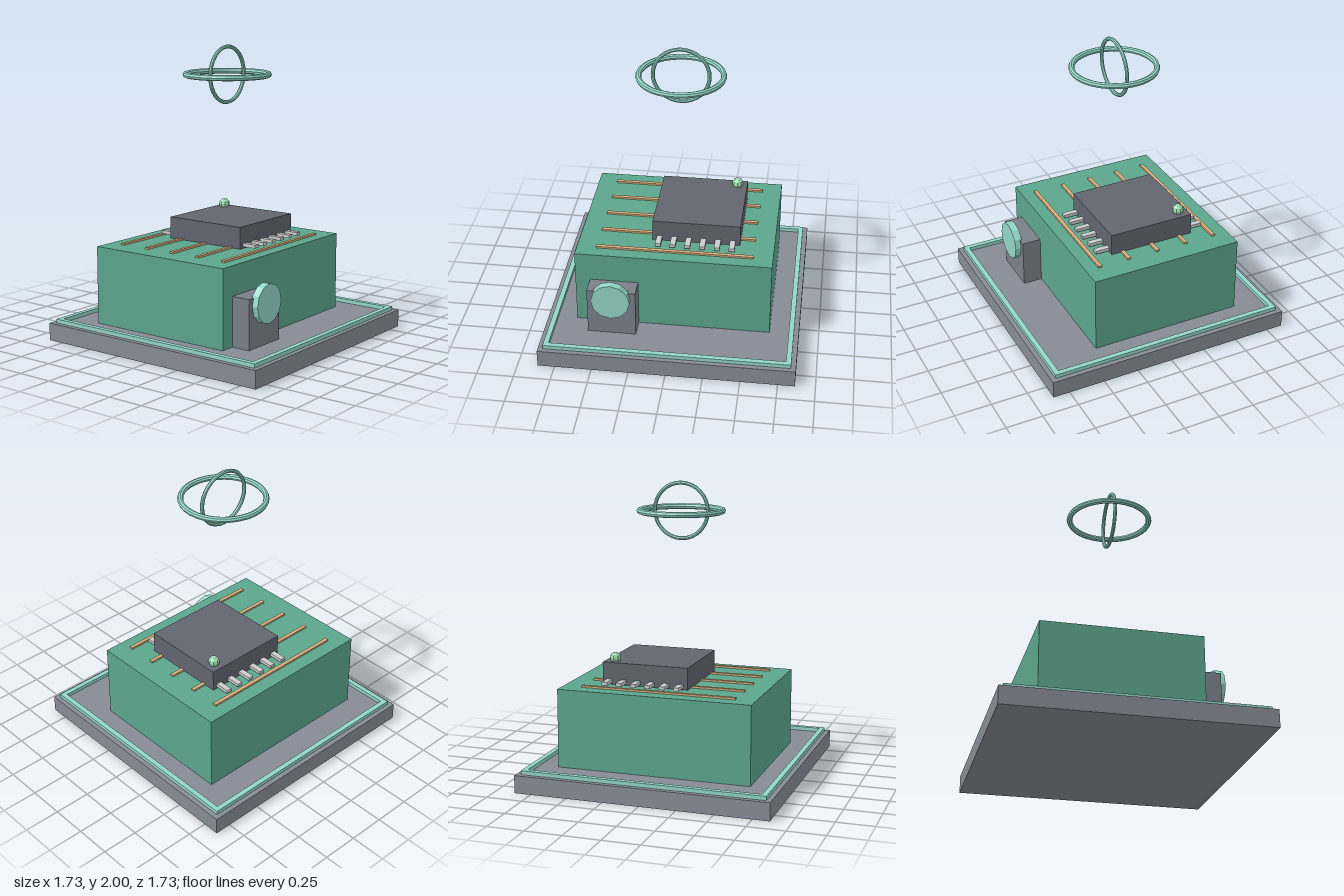
import * as THREE from 'three';

export function createModel() {
  const model = new THREE.Group();
  const paint = (color) => new THREE.MeshStandardMaterial({ color, flatShading: true });
  const slate = paint(0x868b95), green = paint(0x5ca58c), mint = paint(0x92d5c8);
  const dark = paint(0x62656f), copper = paint(0xd6ae7c), metal = paint(0xcccccc);
  const lampGreen = paint(0x9bdcae), housing = paint(0x7b7f89);

  const add = (name, geometry, material, x, y, z, parent = model) => {
    const mesh = new THREE.Mesh(geometry, material);
    mesh.name = name;
    mesh.position.set(x, y, z);
    parent.add(mesh);
    return mesh;
  };
  // Box given by its lower and upper corners
  const box = (name, material, [x0, y0, z0], [x1, y1, z1], parent) =>
    add(name, new THREE.BoxGeometry(x1 - x0, y1 - y0, z1 - z0), material,
      (x0 + x1) / 2, (y0 + y1) / 2, (z0 + z1) / 2, parent);
  const group = (name) => {
    const g = new THREE.Group();
    g.name = name;
    model.add(g);
    return g;
  };

  // Base slab with a raised border trim
  box('base', slate, [-0.865, 0, -0.865], [0.865, 0.12, 0.865]);
  const outer = 0.832, inner = 0.797;
  const square = (Type, h) => new Type([
    new THREE.Vector2(-h, -h), new THREE.Vector2(h, -h),
    new THREE.Vector2(h, h), new THREE.Vector2(-h, h)]);
  const border = square(THREE.Shape, outer);
  border.holes.push(square(THREE.Path, inner));
  const trim = new THREE.ExtrudeGeometry(border, { depth: 0.027, bevelEnabled: false });
  trim.rotateX(-Math.PI / 2);
  add('borderTrim', trim, mint, 0, 0.12, 0);

  // Main block
  box('body', green, [-0.665, 0.12, -0.598], [0.665, 0.655, 0.465]);

  // Copper strips across the roof
  const strips = group('strips');
  for (let i = 0; i < 5; i++) {
    const z = -0.487 + i * 0.213;
    box('strip', copper, [-0.532, 0.655, z - 0.013], [0.532, 0.668, z + 0.013], strips);
  }

  // Chip with a row of pins on the front and back edges
  box('chip', dark, [-0.167, 0.658, -0.366], [0.432, 0.807, 0.233]);
  const pins = group('pins');
  for (let i = 0; i < 6; i++) {
    const x = -0.118 + i * 0.1;
    for (const z of [-0.416, 0.283])
      box('pin', metal, [x - 0.019, 0.671, z - 0.05], [x + 0.019, 0.694, z + 0.05], pins);
  }
  add('lamp', new THREE.SphereGeometry(0.039, 8, 6), lampGreen, 0.365, 0.828, -0.3);

  // Entrance housing with a round hatch
  box('hatchHousing', housing, [-0.565, 0.12, 0.465], [-0.235, 0.455, 0.598]);
  const disc = new THREE.CylinderGeometry(0.132, 0.132, 0.053, 12);
  disc.rotateX(Math.PI / 2);
  add('hatch', disc, mint, -0.4, 0.4, 0.612);

  // Two crossed rings floating above
  const rings = group('rings');
  rings.position.y = 1.8;
  const flat = add('horizontalRing', new THREE.TorusGeometry(0.28, 0.02, 8, 32), mint, 0, 0, 0, rings);
  flat.rotation.x = Math.PI / 2;
  add('verticalRing', new THREE.TorusGeometry(0.187, 0.0133, 8, 32), mint, 0, 0, 0, rings);

  return model;
}
